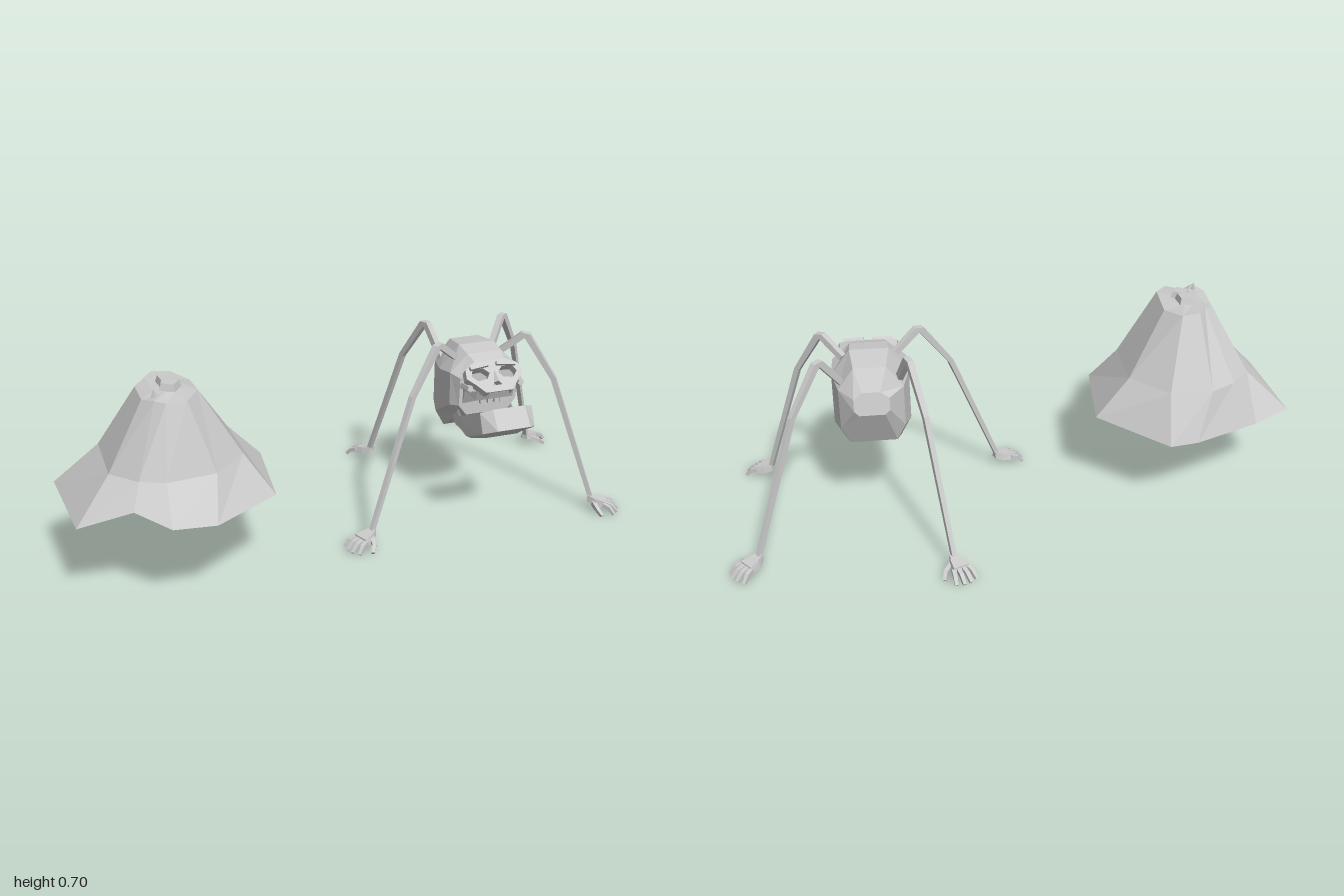
import * as THREE from 'three';

const material = new THREE.MeshStandardMaterial({
  color: 0xcccccc, flatShading: true, side: THREE.DoubleSide,
});

function mesh(geometry, name, parent) {
  const m = new THREE.Mesh(geometry, material);
  m.name = name;
  parent.add(m);
  return m;
}

// Skin a list of closed rings (arrays of [x, y, z]) and cap both ends
function loft(rings) {
  const n = rings[0].length, pos = rings.flat(2), idx = [];
  for (let r = 0; r < rings.length - 1; r++) {
    for (let i = 0; i < n; i++) {
      const a = r * n + i, b = r * n + (i + 1) % n;
      idx.push(a, b, a + n, b, b + n, a + n);
    }
  }
  const last = (rings.length - 1) * n;
  for (let i = 1; i < n - 1; i++) {
    idx.push(0, i + 1, i, last, last + i, last + i + 1);
  }
  const g = new THREE.BufferGeometry();
  g.setAttribute('position', new THREE.Float32BufferAttribute(pos, 3));
  g.setIndex(idx);
  const flat = g.toNonIndexed();
  flat.computeVertexNormals();
  return flat;
}

// Bent tapering four-sided rod through points [x, y, z, radius]
function rod(points) {
  const p = points.map(q => new THREE.Vector3(q[0], q[1], q[2]));
  const heading = new THREE.Vector3(p.at(-1).x - p[0].x, 0, p.at(-1).z - p[0].z).normalize();
  const side = new THREE.Vector3(-heading.z, 0, heading.x);
  return loft(p.map((c, k) => {
    const dir = p[Math.min(k + 1, p.length - 1)].clone().sub(p[Math.max(k - 1, 0)]).normalize();
    const up = new THREE.Vector3().crossVectors(dir, side).normalize();
    return [1, 3, 5, 7].map(q => c.clone()
      .addScaledVector(side, Math.cos(q * Math.PI / 4) * points[k][3])
      .addScaledVector(up, Math.sin(q * Math.PI / 4) * points[k][3]).toArray());
  }));
}

// Draped, flared mound with an uneven hem, a few folds and a shallow underside
function createMound() {
  const g = new THREE.Group();
  g.name = 'drapedMound';
  const cx = -0.645, cz = 0.185;
  const hem = [[-0.63, 0.285, -0.165], [-0.53, 0.285, -0.18], [-0.30, 0.31, 0.01],
    [-0.33, 0.31, 0.32], [-0.56, 0.33, 0.49], [-0.70, 0.345, 0.50],
    [-0.80, 0.375, 0.41], [-0.97, 0.31, 0.34], [-1.0, 0.305, -0.01], [-0.87, 0.285, -0.065]];
  // Bend x, z and how far the crown edge is drawn in along each spoke
  const spokes = [[-0.69, -0.09, 1], [-0.54, -0.09, 1], [-0.42, 0.04, 1], [-0.42, 0.26, 1],
    [-0.53, 0.37, 1], [-0.69, 0.385, 0.8], [-0.77, 0.35, 1], [-0.85, 0.27, 1],
    [-0.85, 0.04, 1], [-0.78, -0.04, 0.85]];
  const bend = spokes.map(([x, z]) => [x, 0.445, z]);
  const edge = spokes.map(([x, z, f], i) => [cx + (x - cx) * 0.41 * f,
    0.68 - (i % 3) * 0.008, cz + (z - 0.15) * 0.55 * f]);
  const crown = edge.map(([x, , z]) => [cx + (x - cx) * 0.5, 0.678, cz + (z - cz) * 0.45]);
  const under = hem.map(([x, y, z]) => [cx + (x - cx) * 0.3, 0.32 + (y - 0.32) * 0.3, cz + (z - cz) * 0.3]);
  mesh(loft([under, hem, bend, edge, crown]), 'drape', g);
  // Crumpled bits on the crown
  for (const [x, z, r] of [[-0.63, 0.205, 0.2], [-0.635, 0.16, 0.9]]) {
    const lump = mesh(new THREE.CylinderGeometry(0.03, 0.045, 0.04, 4), 'crownLump', g);
    lump.position.set(x, 0.68, z);
    lump.rotation.y = r;
  }
  const tip = mesh(new THREE.ConeGeometry(0.025, 0.06, 4), 'crownTip', g);
  tip.position.set(-0.69, 0.675, 0.255);
  return g;
}

// Skull, built around x = 0
function createSkull() {
  const g = new THREE.Group();
  g.name = 'skull';
  // Stations: top z, top y, bottom z, bottom y, half width
  const stations = [[-0.125, 0.545, -0.143, 0.468, 0.06], [-0.075, 0.612, -0.074, 0.326, 0.11],
    [0.03, 0.628, -0.01, 0.307, 0.132], [0.10, 0.618, 0.11, 0.395, 0.128],
    [0.147, 0.602, 0.142, 0.408, 0.108]];
  mesh(loft(stations.map(([tz, ty, bz, by, w]) =>
    [[0.5, 0], [1, 0.27], [1, 0.8], [0.72, 1], [-0.72, 1], [-1, 0.8], [-1, 0.27], [-0.5, 0]]
      .map(([x, t]) => [x * w, ty + (by - ty) * t, tz + (bz - tz) * t]))), 'cranium', g);

  // Upward-tilted face with open eye sockets and nose
  const outline = pts => pts.map(p => new THREE.Vector2(...p));
  const tilt = -0.86;
  const face = new THREE.Shape(outline([[-0.06, 0.06], [0.06, 0.06], [0.1, 0.035], [0.105, 0.0],
    [0.075, -0.03], [0.05, -0.06], [-0.05, -0.06], [-0.075, -0.03], [-0.105, 0.0], [-0.1, 0.035]]));
  for (const s of [-1, 1]) {
    face.holes.push(new THREE.Path(outline([[0.016, 0.012], [0.035, 0.032], [0.075, 0.03],
      [0.085, 0.008], [0.065, -0.014], [0.03, -0.008]].map(([x, y]) => [x * s, y]))));
    const brow = mesh(new THREE.BoxGeometry(0.07, 0.012, 0.014), 'brow', g);
    brow.position.set(0.05 * s, 0.594, 0.166);
    brow.rotation.set(tilt, 0, -0.12 * s);
    const cheek = mesh(new THREE.CylinderGeometry(0.012, 0.016, 0.09, 5), 'cheekbone', g);
    cheek.position.set(0.095 * s, 0.525, 0.16);
    cheek.rotation.x = 1.4;
  }
  face.holes.push(new THREE.Path(outline([[0, -0.008], [0.017, -0.036], [-0.017, -0.036]])));
  const plate = mesh(new THREE.ExtrudeGeometry(face, { depth: 0.03, bevelEnabled: false }), 'face', g);
  plate.position.set(0, 0.543, 0.172);
  plate.rotation.x = tilt;
  const nose = mesh(new THREE.ConeGeometry(0.012, 0.045, 4), 'noseBridge', g);
  nose.position.set(0, 0.566, 0.196);
  nose.rotation.x = -0.7;

  // Jaws are curved bands: [half width, section of z, y pairs], mirrored across the chin
  const band = (half, name) => mesh(loft([...half.map(([x, s]) => s.map(([z, y]) => [-x, y, z])),
    ...half.slice().reverse().map(([x, s]) => s.map(([z, y]) => [x, y, z]))]), name, g);
  band([[0.095, [[0.11, 0.465], [0.145, 0.455], [0.16, 0.51], [0.12, 0.52]]],
    [0.068, [[0.165, 0.475], [0.19, 0.48], [0.205, 0.52], [0.17, 0.52]]],
    [0.035, [[0.195, 0.49], [0.222, 0.495], [0.235, 0.525], [0.205, 0.525]]]], 'upperJaw');
  // Lower jaw dropped open, chin tipped upwards
  band([[0.10, [[0.08, 0.39], [0.09, 0.365], [0.13, 0.39], [0.10, 0.44]]],
    [0.106, [[0.12, 0.365], [0.21, 0.36], [0.215, 0.39], [0.14, 0.405]]],
    [0.097, [[0.235, 0.362], [0.32, 0.415], [0.29, 0.48], [0.255, 0.43]]],
    [0.06, [[0.265, 0.37], [0.36, 0.437], [0.312, 0.497], [0.285, 0.45]]]], 'lowerJaw');
  for (let i = -2; i <= 2; i++) {
    const tooth = mesh(new THREE.BoxGeometry(0.018, 0.02, 0.012), 'upperTooth', g);
    tooth.position.set(i * 0.022, 0.487 - i * i * 0.002, 0.21 - i * i * 0.004);
  }
  return g;
}

// Hand resting on its fingertips, wrist at the origin, fingers towards +z
function createHand(side) {
  const g = new THREE.Group();
  g.name = 'hand';
  const slab = (w, z, y, h) => [[-w, y, z], [w, y, z], [w * 0.8, y + h, z], [-w * 0.8, y + h, z]];
  mesh(loft([slab(0.012, -0.012, -0.014, 0.024), slab(0.026, 0.015, -0.024, 0.028),
    slab(0.033, 0.052, -0.026, 0.024)]), 'palm', g);
  for (let i = 0; i < 4; i++) {
    const u = i - 1.5, long = i === 0 || i === 3 ? 0.042 : 0.052;
    const x = u * 0.017, dx = u * 0.008;
    mesh(rod([[x, -0.014, 0.047, 0.011], [x + dx * 0.5, -0.02, 0.047 + long * 0.5, 0.01],
      [x + dx, -0.042, 0.047 + long, 0.008]]), 'finger', g);
  }
  mesh(rod([[0.015 * side, -0.015, 0.012, 0.012], [0.045 * side, -0.024, 0.028, 0.01],
    [0.06 * side, -0.042, 0.048, 0.008]]), 'thumb', g);
  return g;
}

// Leg from hip to wrist: up to a high knee, then a long bent shin
function createLeg(name, hip, wrist, side) {
  const g = new THREE.Group();
  g.name = name;
  const at = (t, y, r) =>
    [hip[0] + (wrist[0] - hip[0]) * t, y, hip[2] + (wrist[1] - hip[2]) * t, r];
  mesh(rod([at(0, hip[1], 0.015), at(0.21, 0.66, 0.016), at(0.25, 0.658, 0.016),
    at(0.53, 0.505, 0.013), at(1, 0.045, 0.011)]), 'limb', g);
  const hand = createHand(side);
  hand.position.set(wrist[0], 0.05, wrist[1]);
  hand.rotation.y = Math.atan2(wrist[0] - hip[0], wrist[1] - hip[2]);
  g.add(hand);
  return g;
}

export function createModel() {
  const model = new THREE.Group();
  model.name = 'skullCrawlerAndMound';
  model.add(createMound());
  const skull = createSkull();
  skull.position.x = 0.49;
  model.add(skull);
  model.add(
    createLeg('frontRightLeg', [0.40, 0.595, 0.06], [0.035, 0.22], 1),
    createLeg('frontLeftLeg', [0.58, 0.595, 0.045], [0.885, 0.24], -1),
    createLeg('backRightLeg', [0.395, 0.55, -0.05], [0.25, -0.40], -1),
    createLeg('backLeftLeg', [0.585, 0.55, -0.055], [0.9, -0.315], -1),
  );
  return model;
}
